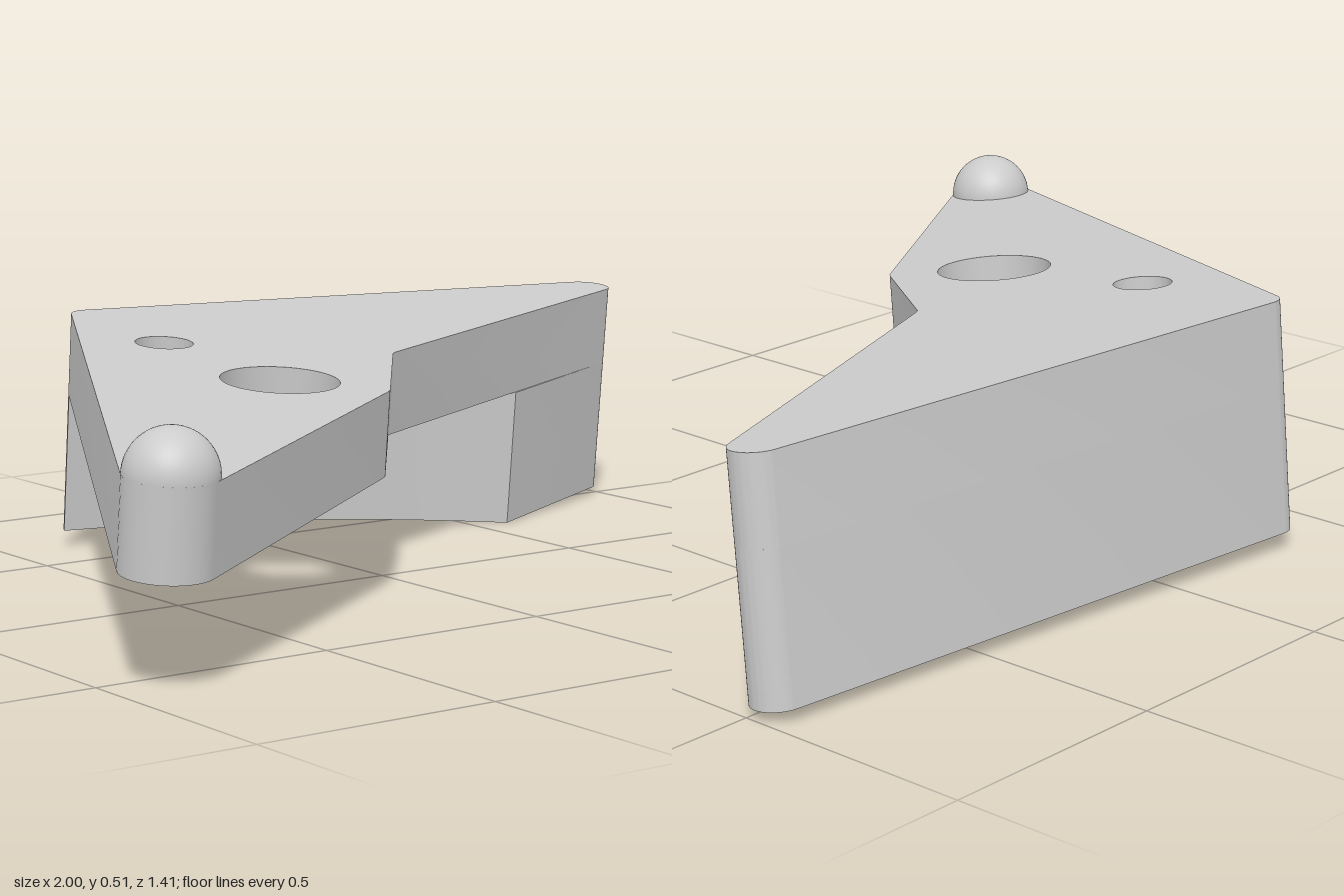
import * as THREE from 'three';
import { toCreasedNormals } from 'three/addons/utils/BufferGeometryUtils.js';

const TILT = 0.0955;    // the whole lever leans forward
const PLATE = 0.1745;   // plate thickness
const HEIGHT = 0.473;   // total depth of the rear wall

// Outline wrapped like a belt around circles [x, y, r], counter-clockwise.
// A negative radius makes a concave fillet, zero a plain corner.
function belt(circles) {
  const n = circles.length;
  const normals = circles.map(([x1, y1, r1], i) => {
    const [x2, y2, r2] = circles[(i + 1) % n];
    const len = Math.hypot(x2 - x1, y2 - y1);
    const ux = (x2 - x1) / len, uy = (y2 - y1) / len;
    const s = (r1 - r2) / len, c = Math.sqrt(1 - s * s);
    return Math.atan2(uy * s - ux * c, ux * s + uy * c);
  });
  const points = [];
  circles.forEach(([x, y, r], i) => {
    if (r === 0) return points.push(new THREE.Vector2(x, y));
    const from = normals[(i + n - 1) % n];
    const delta = normals[i] - from;
    const turn = Math.atan2(Math.sin(delta), Math.cos(delta));
    const steps = Math.max(4, Math.ceil(Math.abs(turn) / 0.12));
    for (let k = 0; k <= steps; k++) {
      const a = from + turn * k / steps;
      points.push(new THREE.Vector2(x + r * Math.cos(a), y + r * Math.sin(a)));
    }
  });
  return new THREE.Shape(points);
}

function hole(x, y, r) {
  return new THREE.Path().absarc(x, y, r, 0, Math.PI * 2, true);
}

// Upright extrusion from y = bottom to y = bottom + depth
function slab(name, shape, bottom, depth, material) {
  const geometry = new THREE.ExtrudeGeometry(shape, { depth, bevelEnabled: false, curveSegments: 32 });
  geometry.rotateX(-Math.PI / 2).translate(0, bottom, 0);
  const mesh = new THREE.Mesh(toCreasedNormals(geometry, 0.5), material);
  mesh.name = name;
  return mesh;
}

export function createModel() {
  const model = new THREE.Group();
  model.name = 'lever';
  const material = new THREE.MeshStandardMaterial({ color: 0xcccccc });

  // Shared rounded ends (shape y points to the back)
  const tip = [0.947, 0.485, 0.053];
  const back = [-0.306, 0.61, 0.052];
  const nose = [-0.912, -0.618, 0.088];

  // Plate with two through holes
  const plate = belt([tip, back, nose, [-0.205, -0.17, 0.08], [0.095, 0.023, -0.04]]);
  plate.holes.push(hole(-0.299, -0.066, 0.119), hole(-0.324, 0.315, 0.06));
  model.add(slab('plate', plate, -PLATE, PLATE, material));

  // Rear wall with a hollow curved front face
  const hollow = new THREE.QuadraticBezierCurve(
    new THREE.Vector2(-0.358, 0.622), new THREE.Vector2(0.15, 0.548), new THREE.Vector2(0.58, 0.268));
  const wall = belt([tip, back, ...hollow.getPoints(20).map(p => [p.x, p.y, 0])]);
  model.add(slab('rearWall', wall, -HEIGHT, HEIGHT - PLATE, material));

  // Dome on the nose
  const dome = new THREE.Mesh(
    new THREE.SphereGeometry(nose[2], 40, 16, 0, Math.PI * 2, 0, Math.PI / 2), material);
  dome.name = 'dome';
  dome.position.set(nose[0], 0, -nose[1]);
  model.add(dome);

  model.rotation.x = TILT;
  model.position.y = 0.4455;
  const root = new THREE.Group();
  root.add(model);
  return root;
}
